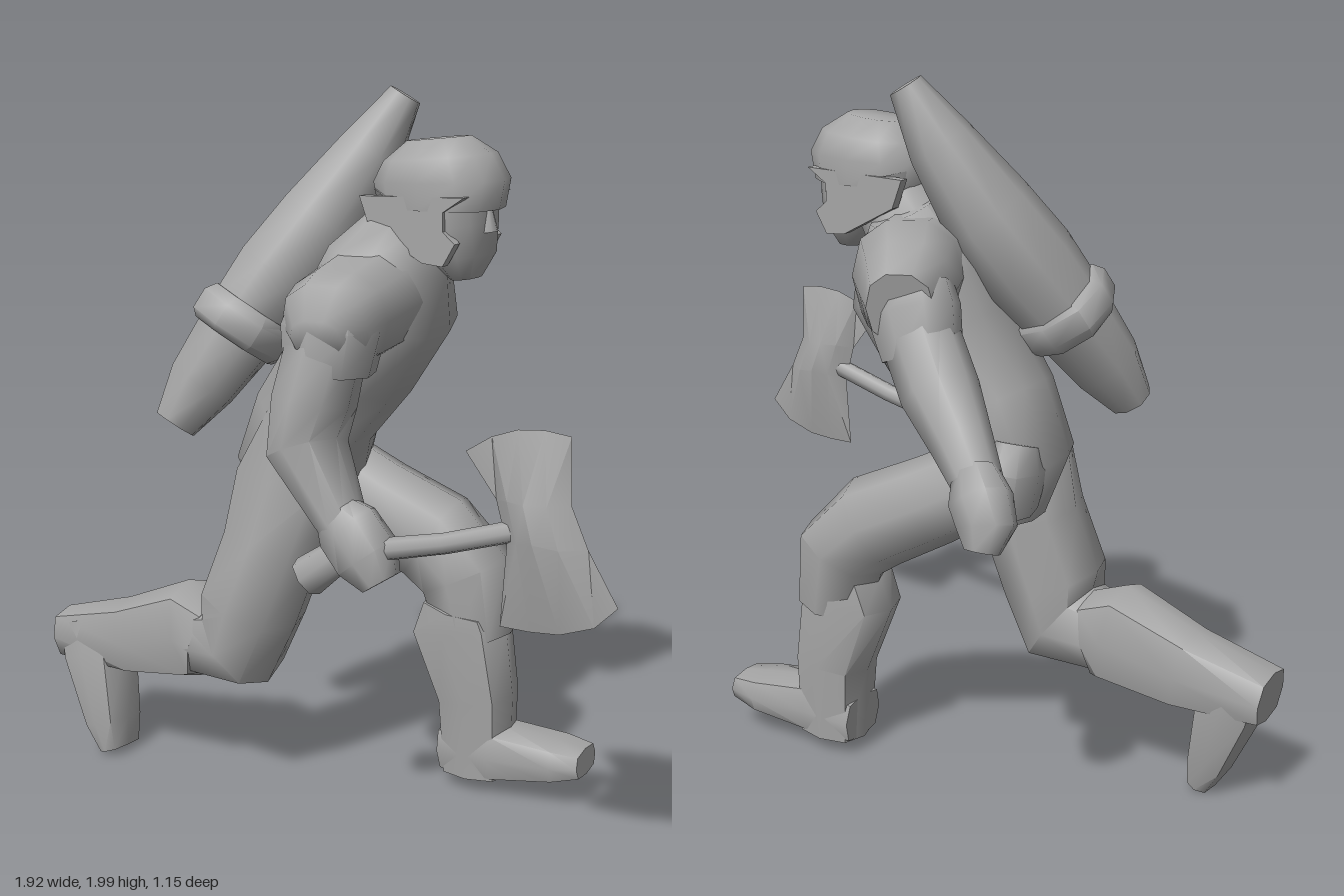
import * as THREE from 'three';
import { toCreasedNormals } from 'three/addons/utils/BufferGeometryUtils.js';

const grey = new THREE.MeshStandardMaterial({ color: 0xa6a6a6 });
grey.name = 'grey';

// Skin a path of rings [x, y, z, half width, half width along the side direction]
function loftGeometry(rings, { sides = 8, side = [0, 0, 1], boxy = 0.85, crease = 1 } = {}) {
  const c = rings.map(r => new THREE.Vector3(r[0], r[1], r[2]));
  const pos = [], index = [], n = rings.length;
  const pw = s => Math.sign(s) * Math.pow(Math.abs(s) < 1e-6 ? 0 : Math.abs(s), boxy);
  rings.forEach((r, i) => {
    const t = c[Math.min(i + 1, n - 1)].clone().sub(c[Math.max(i - 1, 0)]).normalize();
    const u = new THREE.Vector3(...side);
    u.addScaledVector(t, -u.dot(t)).normalize();
    const v = t.clone().cross(u);
    for (let j = 0; j < sides; j++) {
      const a = (j / sides) * Math.PI * 2;
      const p = c[i].clone().addScaledVector(v, r[3] * pw(Math.cos(a))).addScaledVector(u, r[4] * pw(Math.sin(a)));
      pos.push(p.x, p.y, p.z);
    }
  });
  for (let i = 0; i < n - 1; i++) for (let j = 0; j < sides; j++) {
    const k = (j + 1) % sides, a = i * sides + j, b = i * sides + k;
    index.push(a, a + sides, b, b, a + sides, b + sides);
  }
  // End caps
  pos.push(...c[0].toArray(), ...c[n - 1].toArray());
  const s = n * sides, top = (n - 1) * sides;
  for (let j = 0; j < sides; j++) {
    const k = (j + 1) % sides;
    index.push(s, j, k, s + 1, top + k, top + j);
  }
  const g = new THREE.BufferGeometry();
  g.setAttribute('position', new THREE.Float32BufferAttribute(pos, 3));
  g.setIndex(index);
  return toCreasedNormals(g, crease);
}

// Double-bitted blade: thick along the middle row, sharp along both edges
function bladeGeometry(z) {
  const rows = [
    [[.55, 1.16], [.62, 1.205], [.69, 1.23], [.76, 1.237], [.83, 1.23]],
    [[.635, 1.05], [.68, 1.06], [.73, 1.06], [.785, 1.06], [.835, 1.06]],
    [[.665, .94], [.71, .96], [.76, .97], [.82, .96], [.88, .96]],
    [[.65, .73], [.73, .73], [.81, .737], [.9, .77], [.96, .83]],
  ];
  const thick = [0, .7, 1, .7, 0], depth = [0, .05, .06, 0], pos = [], index = [];
  for (const face of [1, -1]) {
    const base = pos.length / 3;
    rows.forEach((row, i) => row.forEach((p, j) => pos.push(p[0], p[1], z + face * thick[j] * depth[i])));
    for (let i = 0; i < 3; i++) for (let j = 0; j < 4; j++) {
      const a = base + i * 5 + j, b = a + 1, c = a + 5, d = c + 1;
      if (face > 0) index.push(a, c, b, b, c, d);
      else index.push(a, b, c, b, d, c);
    }
  }
  const g = new THREE.BufferGeometry();
  g.setAttribute('position', new THREE.Float32BufferAttribute(pos, 3));
  g.setIndex(index);
  return toCreasedNormals(g, 0.5);
}

export function createModel() {
  const model = new THREE.Group();
  model.name = 'axeWarrior';
  const add = (name, geometry) => {
    const m = new THREE.Mesh(geometry, grey);
    m.name = name;
    model.add(m);
    return m;
  };
  const loft = (name, rings, options) => add(name, loftGeometry(rings, options));

  // Body
  loft('torso', [
    [-.2, .8, .05, .11, .15], [-.2, .95, .05, .18, .22], [-.15, 1.1, .05, .17, .22],
    [-.02, 1.27, .05, .18, .25], [.06, 1.42, .05, .2, .28], [.08, 1.54, .04, .16, .25],
    [.11, 1.63, .02, .1, .16],
  ], { sides: 12, side: [.25, 0, 1] });
  loft('shoulders', [
    [.14, 1.4, .52, .07, .05], [.13, 1.42, .46, .12, .115], [.12, 1.43, .38, .14, .13],
    [.1, 1.45, .2, .15, .14], [.06, 1.47, 0, .16, .155], [.0, 1.475, -.15, .15, .16],
    [-.07, 1.46, -.26, .125, .145], [-.11, 1.44, -.35, .09, .1],
  ], { sides: 10, side: [0, 1, 0] });
  loft('neck', [[.1, 1.56, .04, .13, .13], [.22, 1.7, .045, .1, .09]]);
  loft('hipPouch', [[-.31, 1.04, -.08, .05, .08], [-.31, .98, -.1, .075, .12], [-.29, .86, -.1, .07, .1]]);

  // Head with helmet, cheek guards and beard
  const hz = .045;
  loft('helmet', [
    [.235, 1.69, hz, .17, .138], [.235, 1.76, hz, .185, .142],
    [.23, 1.82, hz, .15, .13], [.225, 1.868, hz, .085, .07],
  ], { sides: 12 });
  loft('helmetNape', [[.16, 1.63, hz, .08, .11], [.18, 1.71, hz, .125, .135]], { sides: 10 });
  loft('face', [
    [.31, 1.505, hz, .035, .055], [.305, 1.56, hz, .075, .1], [.285, 1.64, hz, .095, .125], [.28, 1.72, hz, .1, .13],
  ], { sides: 10 });
  loft('nose', [[.375, 1.63, hz, .025, .025], [.365, 1.7, hz, .015, .015]]);
  const guard = new THREE.Shape([
    [.06, 1.72], [.09, 1.64], [.25, 1.555], [.31, 1.55], [.345, 1.61], [.31, 1.64], [.31, 1.69], [.37, 1.73],
  ].map(p => new THREE.Vector2(...p)));
  for (const s of [1, -1]) {
    const m = add('cheekGuard', new THREE.ExtrudeGeometry(guard, { depth: .03, bevelEnabled: false }));
    m.position.z = hz + s * .118 - .015;
  }

  // Trailing leg
  loft('trailingThigh', [
    [-.1, 1.13, .17, .1, .12], [-.16, .92, .18, .165, .13], [-.2, .74, .2, .145, .15],
    [-.27, .55, .215, .145, .155], [-.31, .43, .215, .14, .15], [-.46, .41, .21, .1, .115],
  ]);
  loft('trailingBoot', [
    [-.42, .42, .21, .12, .125], [-.48, .435, .21, .145, .125], [-.7, .375, .21, .115, .105], [-.95, .345, .21, .075, .09],
  ], { boxy: .7 });
  loft('trailingFoot', [
    [-.87, .4, .21, .08, .085], [-.835, .3, .22, .095, .095], [-.775, .1, .245, .06, .085], [-.75, .02, .25, .035, .07],
  ], { boxy: .6 });

  // Leading leg
  loft('leadingThigh', [
    [-.2, .92, -.04, .12, .12], [-.02, .82, -.06, .13, .13], [.15, .735, -.09, .14, .135],
    [.25, .64, -.1, .135, .135], [.285, .46, -.1, .105, .115],
  ]);
  loft('leadingBoot', [
    [.25, .55, -.09, .11, .12], [.24, .49, -.09, .14, .12], [.29, .28, -.1, .11, .105], [.295, .05, -.1, .1, .09],
  ], { boxy: .7 });
  loft('leadingFoot', [
    [.2, .115, -.1, .07, .085], [.36, .125, -.1, .08, .095], [.54, .13, -.12, .055, .095], [.62, .135, -.125, .038, .075],
  ], { boxy: .6 });

  // Axe arm
  loft('axeSleeve', [[.12, 1.48, .39, .11, .11], [.12, 1.41, .4, .135, .13], [.11, 1.3, .405, .115, .12]]);
  loft('axeArm', [[.11, 1.38, .41, .1, .11], [.085, 1.22, .44, .1, .125], [.075, 1.1, .46, .095, .115], [.21, .92, .5, .06, .065]]);
  loft('axeHand', [[.18, .96, .5, .055, .055], [.22, .92, .5, .09, .07], [.28, .85, .5, .09, .075], [.32, .79, .5, .05, .055]]);

  // Free arm, swung back
  loft('freeSleeve', [[-.08, 1.48, -.25, .11, .1], [-.1, 1.42, -.27, .125, .11], [-.14, 1.31, -.29, .105, .1]]);
  loft('freeArm', [[-.1, 1.4, -.27, .1, .1], [-.22, 1.23, -.33, .1, .1], [-.33, 1.13, -.4, .08, .075], [-.43, 1.04, -.47, .06, .06]]);
  loft('freeHand', [[-.4, 1.08, -.45, .06, .055], [-.44, 1.03, -.49, .085, .07], [-.47, .97, -.51, .08, .065], [-.47, .91, -.53, .045, .045]]);

  // Quiver slung across the back
  loft('quiver', [
    [-.3, 1.34, .21, .11, .13], [-.22, 1.48, .13, .125, .15], [-.13, 1.63, .05, .12, .14],
    [-.02, 1.82, -.02, .088, .095], [.06, 1.97, -.065, .045, .05],
  ]);
  loft('quiverBand', [
    [-.315, 1.305, .225, .12, .135], [-.305, 1.325, .215, .14, .155], [-.28, 1.375, .195, .14, .155], [-.27, 1.395, .185, .12, .135],
  ]);
  loft('quiverTip', [[-.43, 1.08, .35, .06, .06], [-.38, 1.19, .29, .095, .1], [-.3, 1.34, .21, .11, .13]]);

  // Axe
  loft('axePommel', [[.1, .77, .5, .055, .05], [.19, .84, .5, .045, .04]]);
  loft('axeHandle', [[.12, .79, .5, .03, .03], [.33, .88, .5, .03, .03], [.5, .92, .495, .027, .027], [.72, .99, .49, .027, .027]]);
  add('axeBlade', bladeGeometry(.49));

  return model;
}
